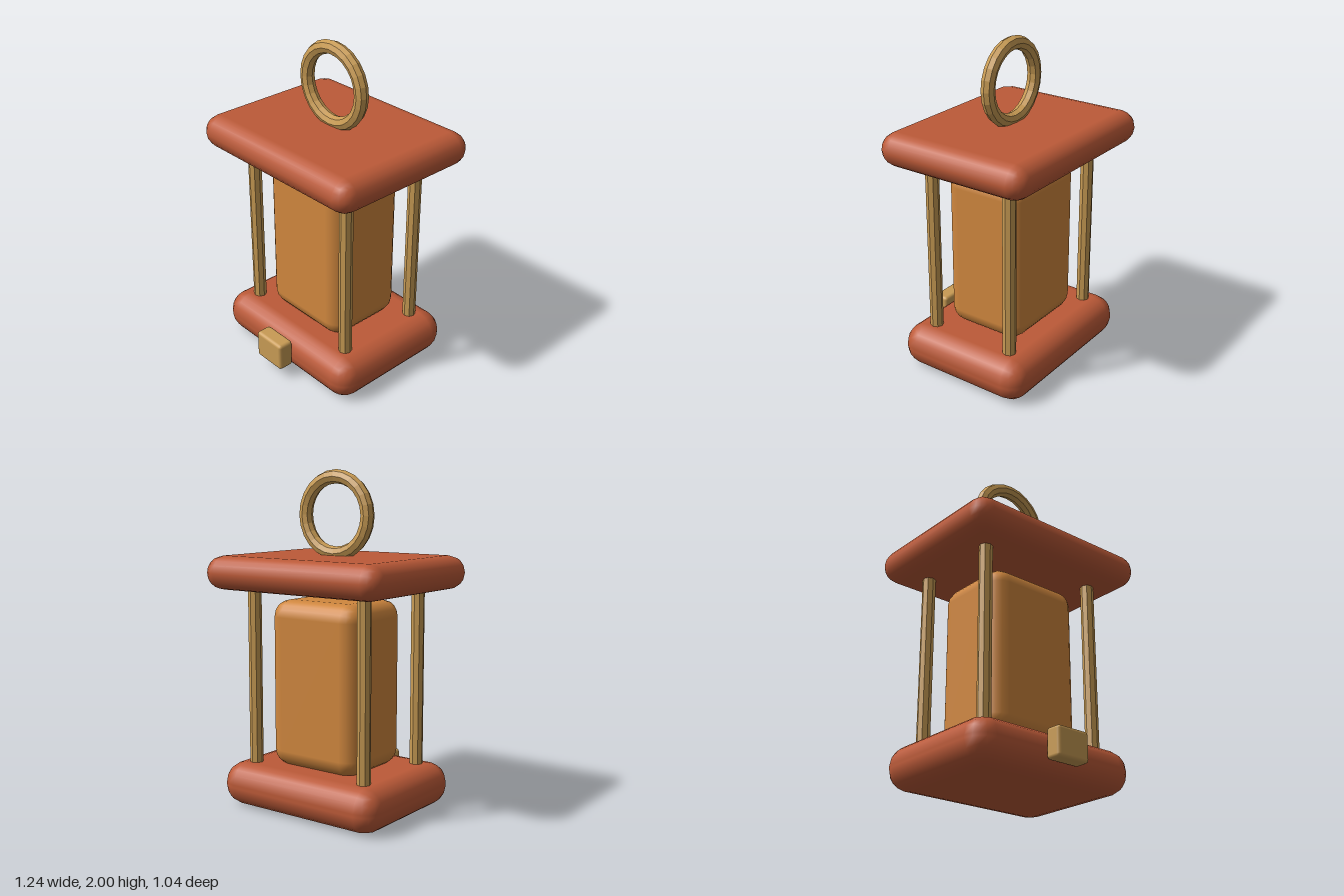
import * as THREE from 'three';
import { RoundedBoxGeometry } from 'three/addons/geometries/RoundedBoxGeometry.js';

export function createModel() {
  const group = new THREE.Group();
  const material = (name, color, flatShading = false) => {
    const m = new THREE.MeshStandardMaterial({ color, flatShading });
    m.name = name;
    return m;
  };
  const rust = material('rust', 0xbc5a38);
  const amber = material('amber', 0xd0873e);
  const brass = material('brass', 0xc89b54);

  const add = (name, geometry, mat, x, y, z) => {
    const mesh = new THREE.Mesh(geometry, mat);
    mesh.name = name;
    mesh.position.set(x, y, z);
    group.add(mesh);
    return mesh;
  };
  const block = (name, [w, h, d], r, mat, x, y, z) =>
    add(name, new RoundedBoxGeometry(w, h, d, 2, r), mat, x, y, z);
  // separate facets so faceted parts share the one brass material
  const faceted = (geometry) => {
    const g = geometry.toNonIndexed();
    g.computeVertexNormals();
    return g;
  };

  const cz = -0.018; // the body sits slightly back to make room for the clasp

  // rounded slabs and the glowing block between them
  block('base', [1.12, 0.258, 0.876], 0.12, rust, 0, 0.125, cz);
  block('lampBody', [0.62, 1.0, 0.52], 0.1, amber, 0, 0.744, cz);
  block('roof', [1.24, 0.2, 1.0], 0.1, rust, 0, 1.402, cz);

  // corner posts
  const post = faceted(new THREE.CylinderGeometry(0.04, 0.04, 1.12, 8));
  for (const x of [-0.397, 0.397])
    for (const z of [-0.272, 0.272])
      add('cornerPost', post, brass, x, 0.78, cz + z);

  // carrying ring and front clasp
  add('carryingRing', faceted(new THREE.TorusGeometry(0.223, 0.041, 8, 24)), brass, 0, 1.736, cz);
  block('frontClasp', [0.22, 0.176, 0.1], 0.02, brass, 0, 0.152, 0.467);

  return group;
}
